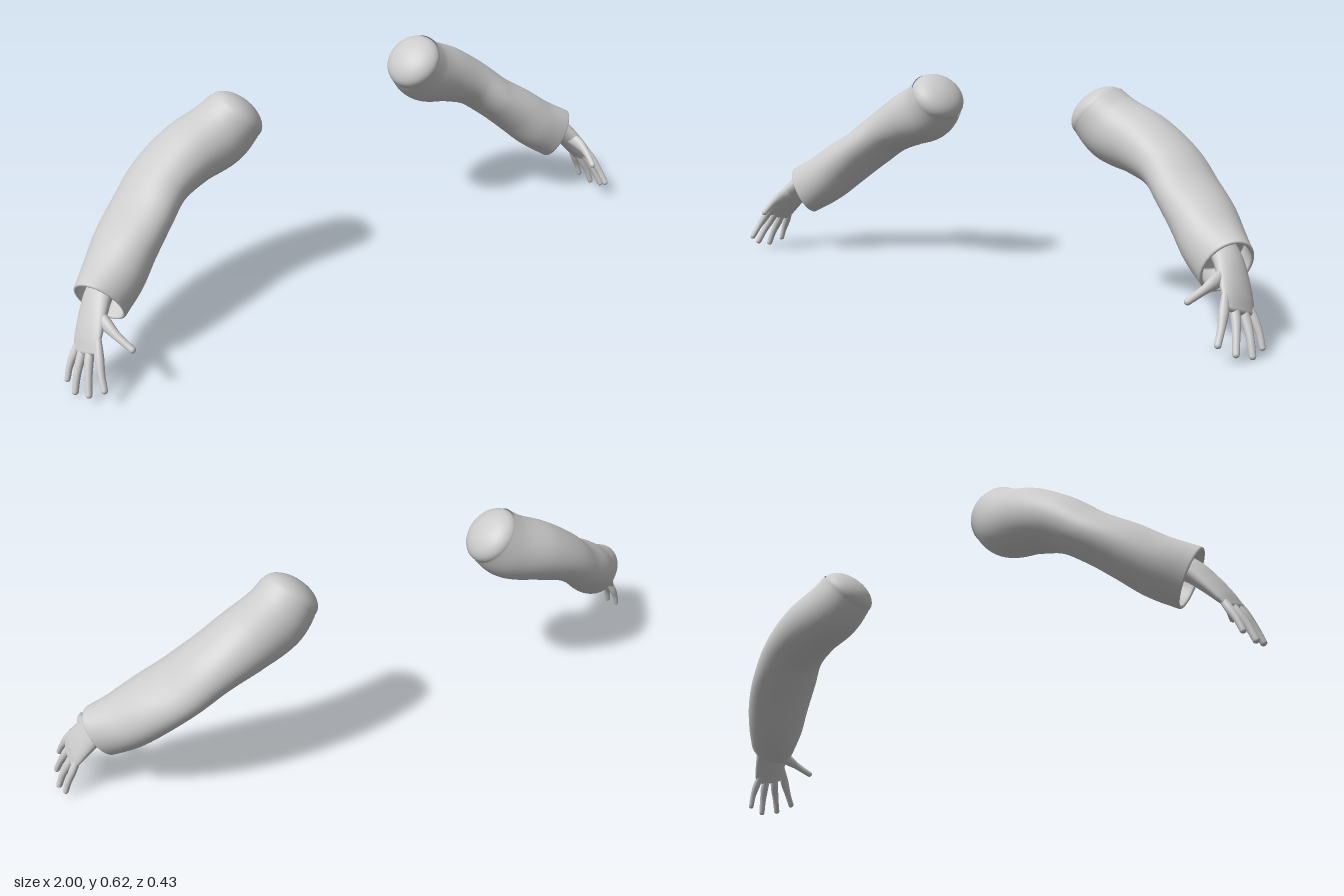
import * as THREE from 'three';

const SIDES = 40;
const V = (x, y, z) => new THREE.Vector3(x, y, z);

// Elliptical rings along a smooth path. Each row is [x, y, z, halfWidth, halfThickness];
// the width axis follows the hint direction.
function makeRings(rows, hint, steps) {
  const path = new THREE.CatmullRomCurve3(rows.map(r => V(r[0], r[1], r[2])), false, 'centripetal');
  const size = new THREE.CatmullRomCurve3(rows.map(r => V(r[3], r[4], 0)), false, 'catmullrom', 0.5);
  const rings = [];
  for (let i = 0; i <= steps; i++) {
    const p = path.getPoint(i / steps);
    const T = path.getTangent(i / steps);
    const W = hint.clone().addScaledVector(T, -hint.dot(T)).normalize();
    const N = T.clone().cross(W);
    const s = size.getPoint(i / steps);
    rings.push({ p, T, W, N, a: s.x, b: s.y });
  }
  return rings;
}

// Close the far end of a ring list with a dome.
function addDome(rings, height = 1, n = 8) {
  const e = rings[rings.length - 1];
  const h = Math.min(e.a, e.b) * height;
  for (let i = 1; i <= n; i++) {
    const t = (i / n) * Math.PI / 2;
    const k = Math.max(Math.cos(t), 0.001);
    rings.push({ ...e, p: e.p.clone().addScaledVector(e.T, h * Math.sin(t)), a: e.a * k, b: e.b * k });
  }
  return rings;
}

// Skin a ring list; side = -1 mirrors the part across x.
function skin(name, rings, side, material) {
  const pos = [], index = [];
  rings.forEach((r, i) => {
    for (let j = 0; j < SIDES; j++) {
      const t = (j / SIDES) * Math.PI * 2;
      const q = r.p.clone()
        .addScaledVector(r.W, Math.cos(t) * r.a)
        .addScaledVector(r.N, Math.sin(t) * r.b);
      pos.push(q.x * side, q.y, q.z);
      if (i === rings.length - 1) continue;
      const k = (j + 1) % SIDES;
      const a = i * SIDES + j, b = i * SIDES + k, c = a + SIDES, d = b + SIDES;
      if (side > 0) index.push(a, b, c, b, d, c);
      else index.push(a, c, b, b, c, d);
    }
  });
  const g = new THREE.BufferGeometry();
  g.setAttribute('position', new THREE.Float32BufferAttribute(pos, 3));
  g.setIndex(index);
  g.computeVertexNormals();
  const mesh = new THREE.Mesh(g, material);
  mesh.name = name;
  return mesh;
}

const SLEEVE = [
  [0.335, 0.547, -0.096, 0.089, 0.089],
  [0.388, 0.502, -0.106, 0.095, 0.097],
  [0.485, 0.465, -0.115, 0.101, 0.089],
  [0.585, 0.414, -0.105, 0.104, 0.075],
  [0.662, 0.354, -0.076, 0.109, 0.070],
  [0.735, 0.298, -0.040, 0.103, 0.077],
  [0.800, 0.243, 0.000, 0.090, 0.082],
  [0.862, 0.204, 0.036, 0.070, 0.084],
];

const PALM = [
  [0.780, 0.275, -0.010, 0.048, 0.036],
  [0.866, 0.223, 0.037, 0.051, 0.031],
  [0.902, 0.181, 0.062, 0.056, 0.025],
  [0.930, 0.140, 0.083, 0.058, 0.018],
  [0.944, 0.115, 0.093, 0.054, 0.012],
];

const DIGITS = {
  thumb: [[0.888, 0.196, 0.070, 0.022, 0.014], [0.890, 0.184, 0.120, 0.020, 0.015], [0.884, 0.168, 0.160, 0.012, 0.011], [0.868, 0.144, 0.206, 0.009, 0.009]],
  indexFinger: [[0.923, 0.157, 0.126, 0.012, 0.009], [0.936, 0.118, 0.152, 0.014, 0.012], [0.946, 0.083, 0.176, 0.010, 0.010], [0.952, 0.050, 0.197, 0.009, 0.009]],
  middleFinger: [[0.927, 0.147, 0.101, 0.012, 0.009], [0.950, 0.100, 0.120, 0.013, 0.012], [0.965, 0.062, 0.139, 0.010, 0.010], [0.977, 0.024, 0.156, 0.009, 0.009]],
  ringFinger: [[0.931, 0.138, 0.076, 0.012, 0.009], [0.957, 0.088, 0.084, 0.013, 0.012], [0.976, 0.049, 0.094, 0.010, 0.010], [0.989, 0.010, 0.102, 0.009, 0.009]],
  littleFinger: [[0.935, 0.127, 0.052, 0.012, 0.009], [0.958, 0.085, 0.049, 0.012, 0.011], [0.974, 0.053, 0.050, 0.009, 0.009], [0.985, 0.021, 0.053, 0.008, 0.008]],
};

function makeArm(name, side, material) {
  const arm = new THREE.Group();
  arm.name = name;

  // Sleeve: outer cloth, rolled rim, then a lining that runs back inside
  const outer = makeRings(SLEEVE, V(0, 0, 1), 84);
  const end = outer[outer.length - 1];
  const rim = [];
  for (let i = 1; i < 6; i++) {
    const t = (i / 6) * Math.PI, inset = 0.005 * (1 - Math.cos(t));
    rim.push({ ...end, p: end.p.clone().addScaledVector(end.T, 0.005 * Math.sin(t)), a: end.a - inset, b: end.b - inset });
  }
  const lining = outer.slice(-12).reverse().map(r => ({ ...r, a: r.a - 0.010, b: r.b - 0.010 }));
  const deep = lining[lining.length - 1];
  lining.push({ ...deep, a: 0.01, b: 0.01 });
  arm.add(skin('sleeve', [...outer, ...rim, ...lining], side, material));

  // Rounded shoulder cap set into the sleeve's upper opening
  const cap = makeRings([
    [0.350, 0.530, -0.098, 0.085, 0.085],
    [0.332, 0.548, -0.095, 0.087, 0.087],
  ], V(0, 0, 1), 4);
  arm.add(skin('shoulderCap', addDome(cap, 0.6, 14), side, material));

  // Hand with palm and five digits
  const hand = new THREE.Group();
  hand.name = 'hand';
  const across = V(-0.15, 0.35, 0.92);
  hand.add(skin('palm', addDome(makeRings(PALM, across, 28), 1), side, material));
  for (const [digit, rows] of Object.entries(DIGITS)) {
    const hint = digit === 'thumb' ? V(0, 1, 0.2) : across;
    hand.add(skin(digit, addDome(makeRings(rows, hint, 18)), side, material));
  }
  arm.add(hand);
  return arm;
}

export function createModel() {
  const material = new THREE.MeshStandardMaterial({ color: 0xcccccc, side: THREE.DoubleSide });
  const model = new THREE.Group();
  model.name = 'armPair';
  model.add(makeArm('leftArm', 1, material), makeArm('rightArm', -1, material));
  return model;
}
